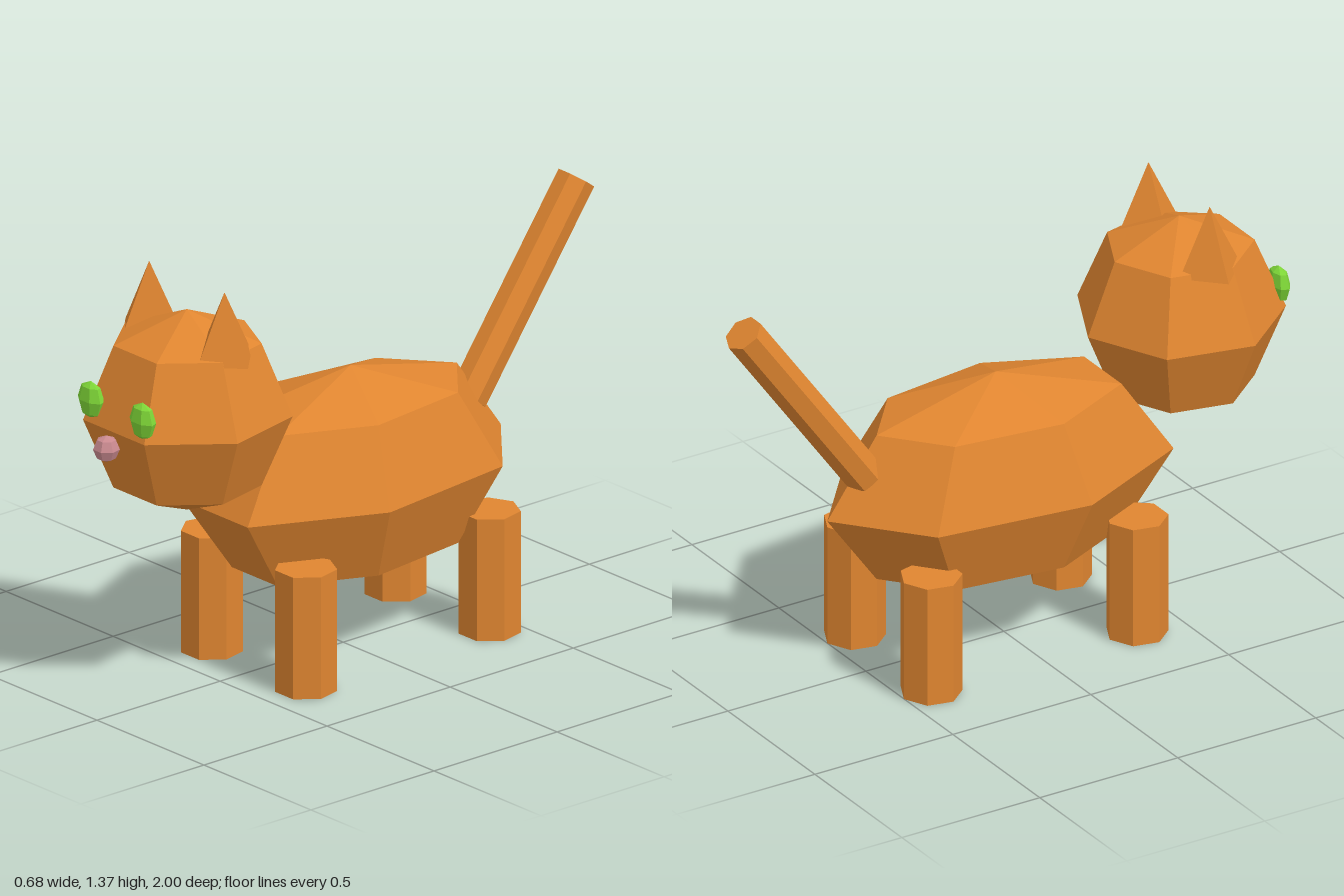
import * as THREE from 'three';

const SIDES = 7;

export function createModel() {
  const mat = (name, color) => {
    const m = new THREE.MeshStandardMaterial({ color, flatShading: true });
    m.name = name;
    return m;
  };
  const fur = mat('orange fur', 0xdf8530);
  const green = mat('eye green', 0x7ed637);
  const pink = mat('nose pink', 0xc9898f);

  const cat = new THREE.Group();
  cat.name = 'cat';

  const add = (name, geometry, material, x, y, z) => {
    const mesh = new THREE.Mesh(geometry, material);
    mesh.name = name;
    mesh.position.set(x, y, z);
    cat.add(mesh);
    return mesh;
  };
  // Seven-sided ball: one corner points back, a flat faces the front
  const ball = (rx, ry, rz) =>
    new THREE.SphereGeometry(1, SIDES, 4).rotateY(-Math.PI / 2).scale(rx, ry, rz);
  const post = (r, h) =>
    new THREE.CylinderGeometry(r, r, h, SIDES).rotateY(Math.PI);

  add('body', ball(0.35, 0.35, 0.61), fur, 0, 0.555, -0.03);
  add('head', ball(0.33, 0.33, 0.33), fur, 0, 0.93, 0.635);
  add('nose', ball(0.043, 0.043, 0.042), pink, 0, 0.885, 0.962);

  // Paired parts, mirrored across x
  for (const [side, s] of [['left', 1], ['right', -1]]) {
    add(side + 'Ear', new THREE.ConeGeometry(0.11, 0.22, 4), fur, s * 0.176, 1.257, 0.635);
    add(side + 'Eye', ball(0.054, 0.061, 0.03), green, s * 0.121, 1.0, 0.92);
    add(side + 'FrontLeg', post(0.098, 0.4), fur, s * 0.22, 0.2, 0.343);
    add(side + 'BackLeg', post(0.098, 0.4), fur, s * 0.22, 0.2, -0.403);
  }

  // Tail leaning back from the rump
  const tail = add('tail', post(0.063, 0.755), fur, 0, 0.981, -0.724);
  tail.rotation.x = -0.625;

  return cat;
}
